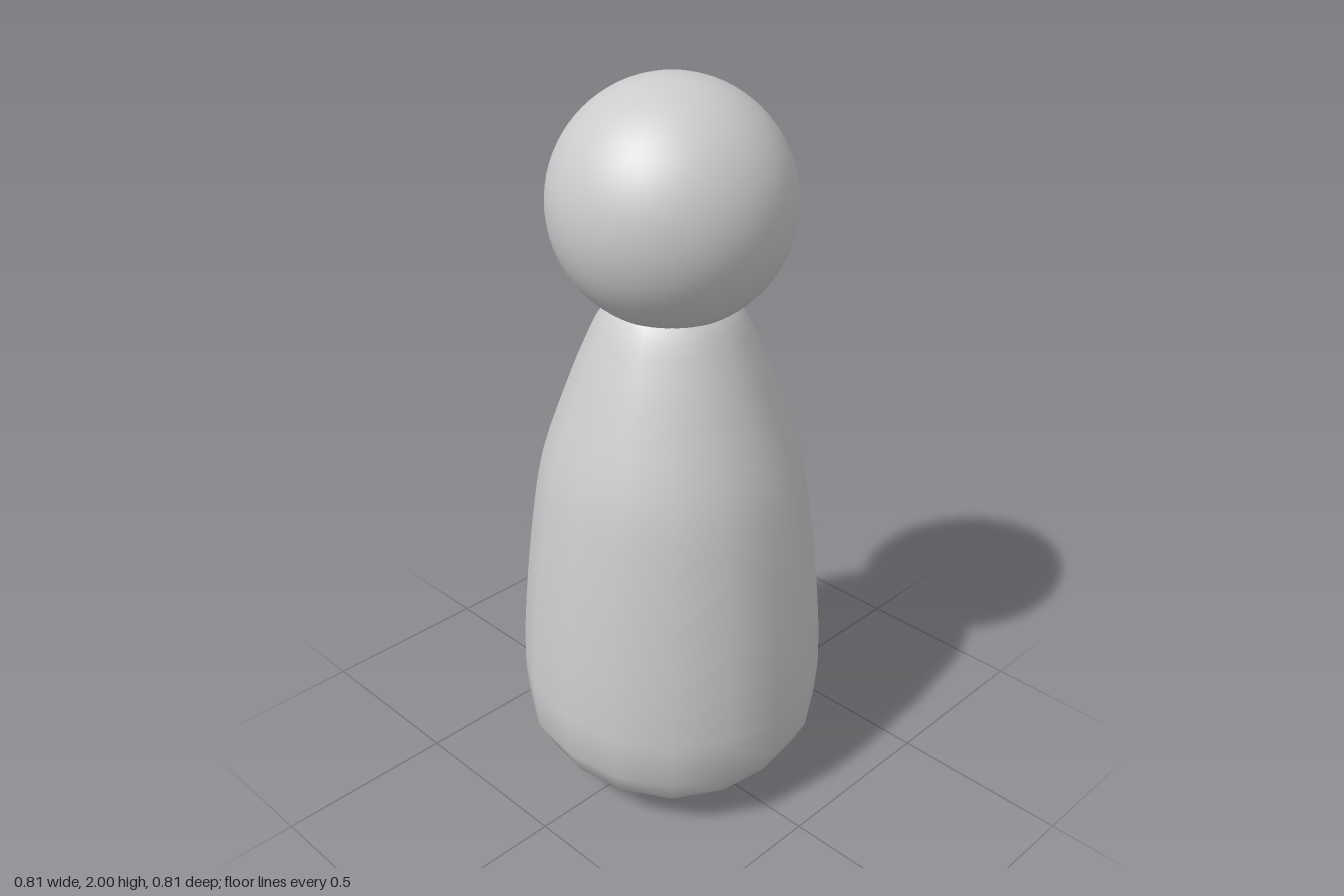
import * as THREE from 'three';

export function createModel() {
  const group = new THREE.Group();
  const material = new THREE.MeshStandardMaterial({ color: 0xcccccc });

  // Body: 16-sided turned shape, faceted at the base and tapering to the neck
  const base = [[0, 0], [0.157, 0.02], [0.285, 0.055], [0.36, 0.12], [0.4, 0.2]];
  const side = [
    [0.407, 0.3], [0.403, 0.43], [0.389, 0.6], [0.366, 0.8], [0.332, 1.0],
    [0.265, 1.2], [0.218, 1.32], [0.168, 1.42], [0.09, 1.48], [0, 1.5],
  ];
  const toVector = ([x, y]) => new THREE.Vector2(x, y);
  const taper = new THREE.SplineCurve(side.map(toVector)).getPoints(27);
  taper[taper.length - 1].x = 0;
  const bodyGeometry = new THREE.LatheGeometry([...base.map(toVector), ...taper], 16);

  // Swell the diagonals a little so the section is slightly squared
  const pos = bodyGeometry.attributes.position;
  for (let i = 0; i < pos.count; i++) {
    const x = pos.getX(i), z = pos.getZ(i);
    const swell = 1 + 0.04 * Math.sin(2 * Math.atan2(x, z)) ** 2;
    pos.setX(i, x * swell);
    pos.setZ(i, z * swell);
  }
  const body = new THREE.Mesh(bodyGeometry, material);
  body.name = 'body';

  // Head: smooth ball sunk onto the neck
  const head = new THREE.Mesh(new THREE.SphereGeometry(0.312, 64, 40), material);
  head.name = 'head';
  head.position.y = 1.688;

  group.add(body, head);
  return group;
}
